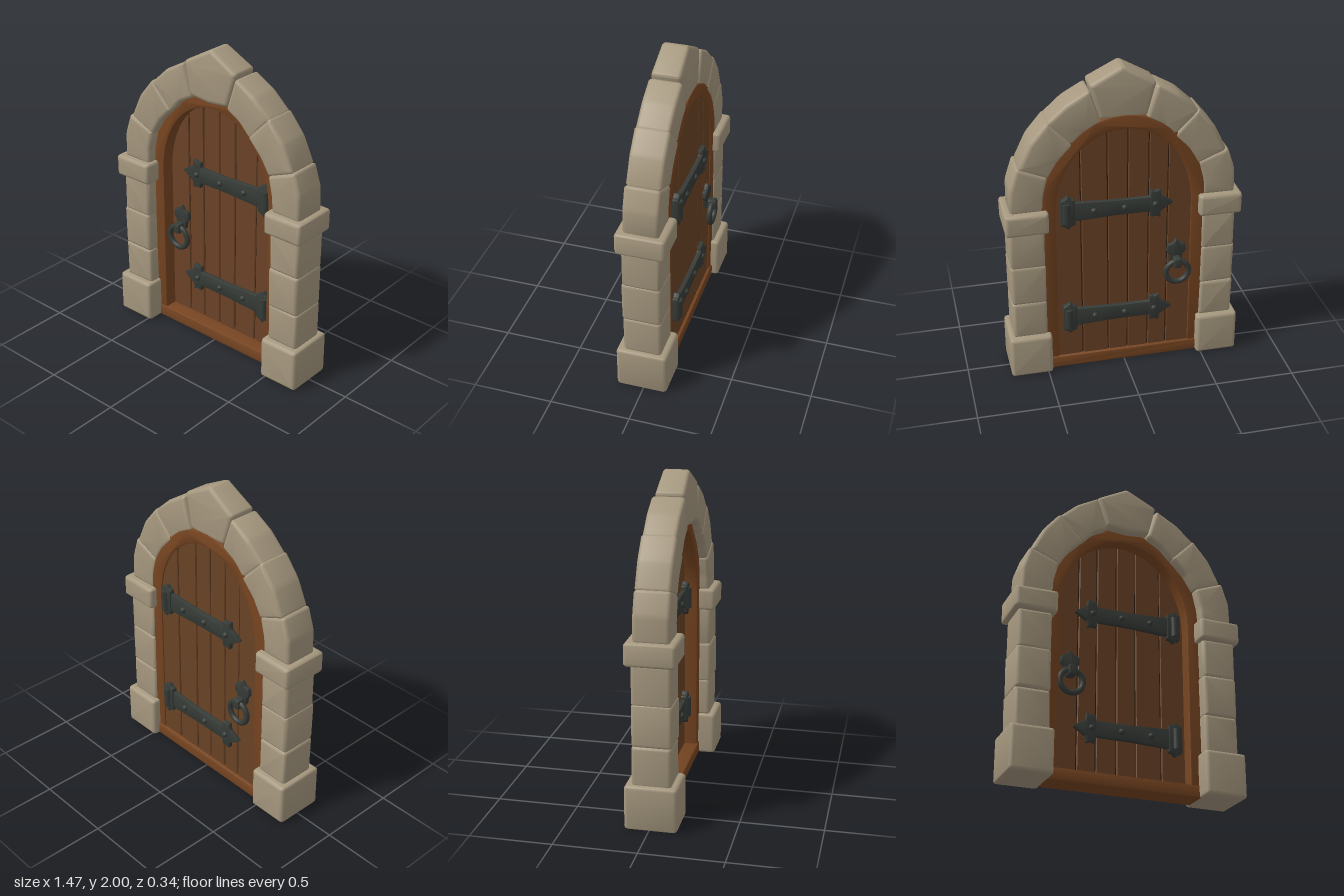
import * as THREE from 'three';
import { toCreasedNormals } from 'three/addons/utils/BufferGeometryUtils.js';

const mat = (name, color) => Object.assign(new THREE.MeshStandardMaterial({ color }), { name });

// polygon with rounded corners
function roundedShape(pts, r) {
  const shape = new THREE.Shape();
  const n = pts.length;
  pts.forEach((p, i) => {
    const v = new THREE.Vector2(...p);
    const toward = (q) => {
      const d = new THREE.Vector2(...q).sub(v);
      return d.setLength(Math.min(r, d.length() * 0.45)).add(v);
    };
    const a = toward(pts[(i + n - 1) % n]);
    const b = toward(pts[(i + 1) % n]);
    if (i === 0) shape.moveTo(a.x, a.y);
    else shape.lineTo(a.x, a.y);
    shape.quadraticCurveTo(v.x, v.y, b.x, b.y);
  });
  shape.closePath();
  return shape;
}

// bevelled slab between two z planes
function slab(shape, zBack, zFront, bevel, segments = 2) {
  const geo = new THREE.ExtrudeGeometry(shape, {
    depth: zFront - zBack - 2 * bevel, bevelEnabled: true, bevelThickness: bevel,
    bevelSize: bevel, bevelOffset: -bevel, bevelSegments: segments, curveSegments: 4,
  });
  geo.translate(0, 0, zBack + bevel);
  return toCreasedNormals(geo, 0.75);
}

// arch outline points from lower right, over the top, to lower left
function archPoints(a, spring, top, bottom, n = 28) {
  const pts = [[a, bottom]];
  for (let i = 0; i <= n; i++) {
    const t = (i / n) * Math.PI;
    pts.push([a * Math.cos(t), spring + (top - spring) * Math.sin(t)]);
  }
  pts.push([-a, bottom]);
  return pts.map(([x, y]) => new THREE.Vector2(x, y));
}

export function createModel() {
  const stone = mat('stone', 0xa6987f);
  const wood = mat('plank wood', 0x6a4226);
  const frameWood = mat('frame wood', 0x774521);
  const gapWood = mat('dark gap', 0x2e1c10);
  const iron = mat('iron', 0x363b37);

  const model = new THREE.Group();
  model.name = 'archedDoor';
  const add = (parent, name, geo, material, x = 0, y = 0, z = 0) => {
    const m = new THREE.Mesh(geo, material);
    m.name = name;
    m.position.set(x, y, z);
    parent.add(m);
    return m;
  };

  let seed = 7;
  const jitter = (k) => {
    seed = (seed * 16807) % 2147483647;
    return (seed / 2147483647 - 0.5) * 2 * k;
  };

  // stones of one side: name, outline, back z, front z, unevenness
  const rect = (x0, x1, y0, y1) => [[x0, y0], [x1, y0], [x1, y1], [x0, y1]];
  const sideStones = [
    ['baseStone', rect(0.47, 0.735, 0, 0.275), -0.15, 0.17, 0],
    ['pierStoneLow', rect(0.49, 0.705, 0.265, 0.515), -0.11, 0.13, 0.003],
    ['pierStoneMiddle', rect(0.49, 0.705, 0.505, 0.768), -0.11, 0.135, 0.003],
    ['pierStoneHigh', rect(0.49, 0.705, 0.758, 1.012), -0.11, 0.13, 0.003],
    ['bandStone', rect(0.465, 0.732, 1.003, 1.142), -0.145, 0.162, 0.002],
    ['archStoneLow', [[0.49, 1.13], [0.697, 1.13], [0.69, 1.29], [0.645, 1.432], [0.455, 1.358], [0.485, 1.23]], -0.1, 0.12, 0.002],
    ['archStoneMiddle', [[0.457, 1.345], [0.635, 1.422], [0.56, 1.58], [0.452, 1.708], [0.3, 1.55], [0.395, 1.45]], -0.1, 0.115, 0.002],
    ['archStoneHigh', [[0.308, 1.537], [0.458, 1.693], [0.34, 1.8], [0.2, 1.878], [0.132, 1.675], [0.23, 1.62]], -0.095, 0.11, 0.002],
  ];
  const stones = new THREE.Group();
  stones.name = 'stoneArch';
  model.add(stones);
  for (const side of [1, -1]) {
    for (const [name, pts, zb, zf, k] of sideStones) {
      const p = pts.map(([x, y]) => [side * (x + jitter(k)), y + jitter(k)]);
      if (side < 0) p.reverse();
      add(stones, (side > 0 ? 'left_' : 'right_') + name, slab(roundedShape(p, 0.02), zb, zf, 0.024, 3), stone);
    }
  }
  // keystone, thinner towards its peak
  const key = [[-0.143, 1.69], [0, 1.675], [0.143, 1.69], [0.2, 1.9], [0, 2.003], [-0.2, 1.89]];
  const keyGeo = slab(roundedShape(key, 0.018), -0.09, 0.115, 0.026, 3);
  const kp = keyGeo.attributes.position;
  for (let i = 0; i < kp.count; i++) {
    kp.setZ(i, kp.getZ(i) * (1 - 0.2 * THREE.MathUtils.clamp((kp.getY(i) - 1.7) / 0.3, 0, 1)));
  }
  add(stones, 'keystone', keyGeo, stone);

  // wooden frame, an arched band open at the bottom, and the sill
  const frame = new THREE.Shape([
    ...archPoints(0.53, 1.05, 1.71, 0.01),
    ...archPoints(0.42, 1.1, 1.62, 0.01).reverse(),
  ]);
  add(model, 'doorFrame', slab(frame, -0.095, 0.058, 0.012), frameWood);
  add(model, 'sill', slab(roundedShape(rect(-0.5, 0.5, 0.003, 0.08), 0.01), -0.105, 0.065, 0.01), frameWood);

  // planks over a dark core, cut to the arch
  const backZ = -0.085, frontZ = -0.025;
  add(model, 'doorCore', slab(new THREE.Shape(archPoints(0.45, 1.1, 1.65, 0.05)), backZ + 0.012, frontZ - 0.012, 0.002, 1), gapWood);
  const edges = [-0.45, -0.275, -0.155, -0.025, 0.1, 0.265, 0.45];
  for (let i = 0; i < edges.length - 1; i++) {
    const x0 = edges[i] + 0.004, x1 = edges[i + 1] - 0.004;
    const pts = [[x0, 0.05], [x1, 0.05]];
    for (let j = 0; j <= 6; j++) {
      const x = x1 + ((x0 - x1) * j) / 6;
      pts.push([x, 1.1 + 0.55 * Math.sqrt(1 - (x / 0.452) ** 2)]);
    }
    const shape = new THREE.Shape(pts.map((p) => new THREE.Vector2(...p)));
    add(model, 'plank' + (i + 1), slab(shape, backZ, frontZ, 0.004, 1), wood);
  }

  // iron fittings, the same on both faces; local z = 0 is the plank surface
  const strapHalf = [[-0.305, 0], [-0.225, 0.052], [-0.222, 0.095], [-0.19, 0.082], [-0.163, 0.09], [-0.16, 0.05], [0.06, 0.05], [0.325, 0.062]];
  const strap = [...strapHalf.slice().reverse(), ...strapHalf.slice(1).map(([x, y]) => [x, -y])];
  const endHalf = [[0.305, 0.085], [0.33, 0.09], [0.35, 0.112], [0.37, 0.09], [0.392, 0.085]];
  const endPlate = [...endHalf.slice().reverse(), ...endHalf.map(([x, y]) => [x, -y])];

  function fittings(name) {
    const g = new THREE.Group();
    g.name = name;
    for (const y of [1.115, 0.37]) {
      const hinge = new THREE.Group();
      hinge.name = 'strapHinge';
      hinge.position.y = y;
      g.add(hinge);
      add(hinge, 'strap', slab(roundedShape(strap, 0.008), -0.005, 0.028, 0.006), iron);
      add(hinge, 'endPlate', slab(roundedShape(endPlate, 0.008), -0.005, 0.036, 0.006), iron);
      add(hinge, 'knuckle', new THREE.CylinderGeometry(0.028, 0.028, 0.13, 16), iron, 0.358, 0, 0.026);
      for (const x of [-0.19, 0, 0.19]) {
        add(hinge, 'rivet', new THREE.SphereGeometry(0.019, 12, 8), iron, x, 0, 0.028);
      }
    }
    const handle = new THREE.Group();
    handle.name = 'ringHandle';
    handle.position.x = -0.33;
    g.add(handle);
    const plate = [[-0.035, 0.69], [0.035, 0.69], [0.04, 0.74], [0.062, 0.765], [0.055, 0.81], [0.02, 0.82], [0, 0.85], [-0.02, 0.82], [-0.055, 0.81], [-0.062, 0.765], [-0.04, 0.74]];
    add(handle, 'handlePlate', slab(roundedShape(plate, 0.008), -0.005, 0.026, 0.006), iron);
    add(handle, 'ringHolder', slab(roundedShape(rect(-0.026, 0.026, 0.668, 0.735), 0.014), 0, 0.08, 0.012), iron);
    add(handle, 'ring', new THREE.TorusGeometry(0.073, 0.018, 10, 32), iron, 0, 0.635, 0.05);
    return g;
  }
  const front = fittings('frontFittings');
  front.position.z = frontZ;
  const back = fittings('backFittings');
  back.position.z = backZ;
  back.scale.z = -1;
  model.add(front, back);

  return model;
}
